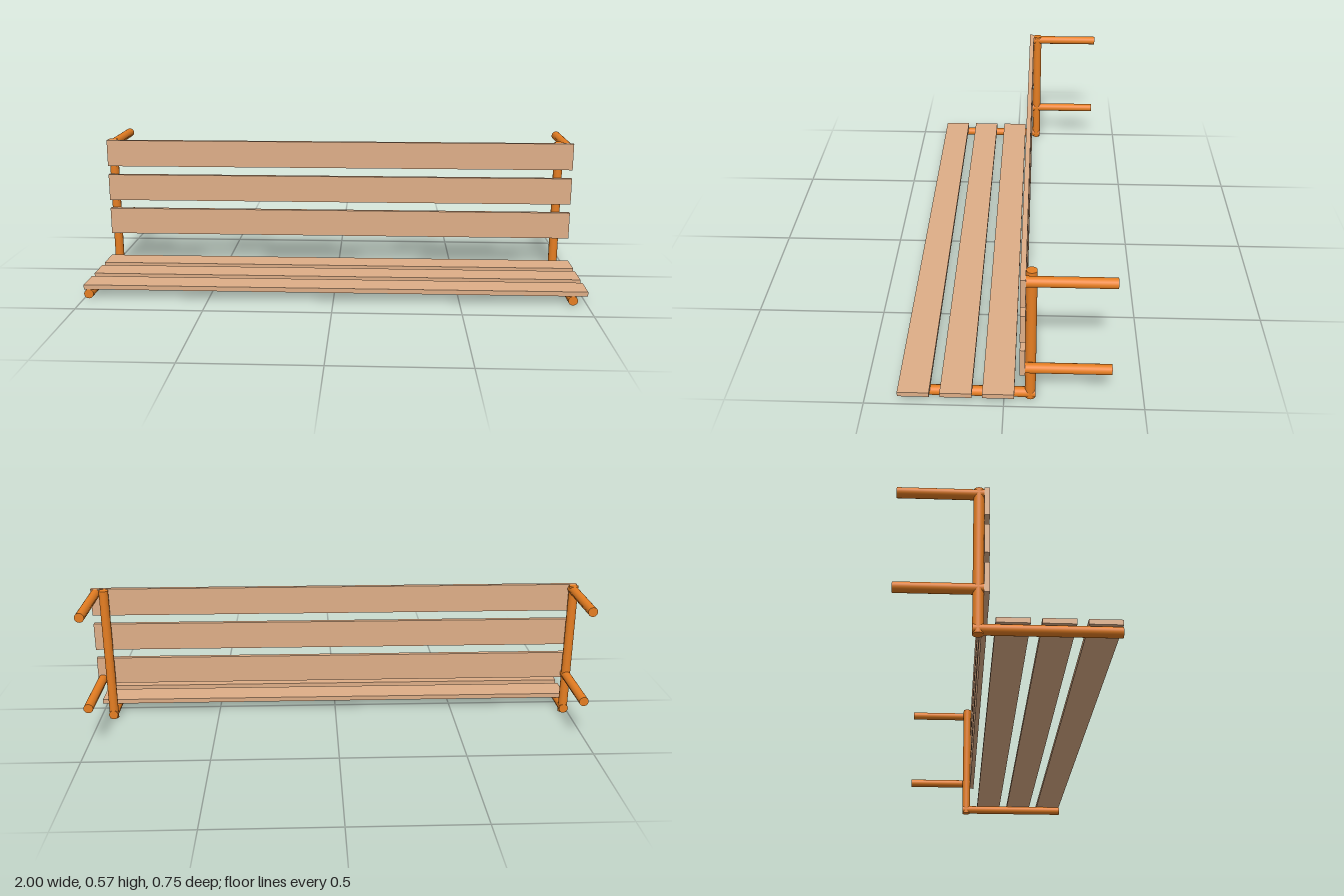
import * as THREE from 'three';

const U = 0.01885; // slat thickness and tube radius
const frameMat = new THREE.MeshStandardMaterial({ color: 0xe67e22 });
const slatMat = new THREE.MeshStandardMaterial({ color: 0xdeae87 });

// Round tube between two points
function tube(name, from, to) {
  const a = new THREE.Vector3(...from), b = new THREE.Vector3(...to);
  const dir = b.clone().sub(a);
  const mesh = new THREE.Mesh(new THREE.CylinderGeometry(U, U, dir.length(), 24), frameMat);
  mesh.name = name;
  mesh.position.copy(a).add(b).multiplyScalar(0.5);
  mesh.quaternion.setFromUnitVectors(new THREE.Vector3(0, 1, 0), dir.normalize());
  return mesh;
}

// Full-length plank
function slat(name, height, depth, y, z) {
  const mesh = new THREE.Mesh(new THREE.BoxGeometry(2, height, depth), slatMat);
  mesh.name = name;
  mesh.position.set(0, y, z);
  return mesh;
}

// Seat rail, upright post and two rear wall arms
function sideFrame(name, postX, armX) {
  const frame = new THREE.Group();
  frame.name = name;
  const postZ = -5 * U;
  frame.add(tube('seatRail', [postX, U, 20 * U], [postX, U, -6 * U]));
  frame.add(tube('backPost', [postX, 0, postZ], [postX, 30 * U, postZ]));
  for (const y of [9 * U, 29 * U]) {
    frame.add(tube('wallArm', [armX, y, -4 * U], [armX, y, -20 * U]));
  }
  return frame;
}

export function createModel() {
  const bench = new THREE.Group();
  bench.name = 'bench';

  // The left arms sit just outside their post; the right arms join it centrally
  bench.add(sideFrame('rightFrame', -1 + U, -1 + U));
  bench.add(sideFrame('leftFrame', 1 - 3 * U, 1 - U));

  // Three seat slats and three backrest slats, evenly spaced
  for (let i = 0; i < 3; i++) {
    bench.add(slat('seatSlat', U, 6 * U, 2.5 * U, (17 - 8 * i) * U));
    bench.add(slat('backSlat', 6 * U, U, (11 + 8 * i) * U, -3.5 * U));
  }
  return bench;
}
